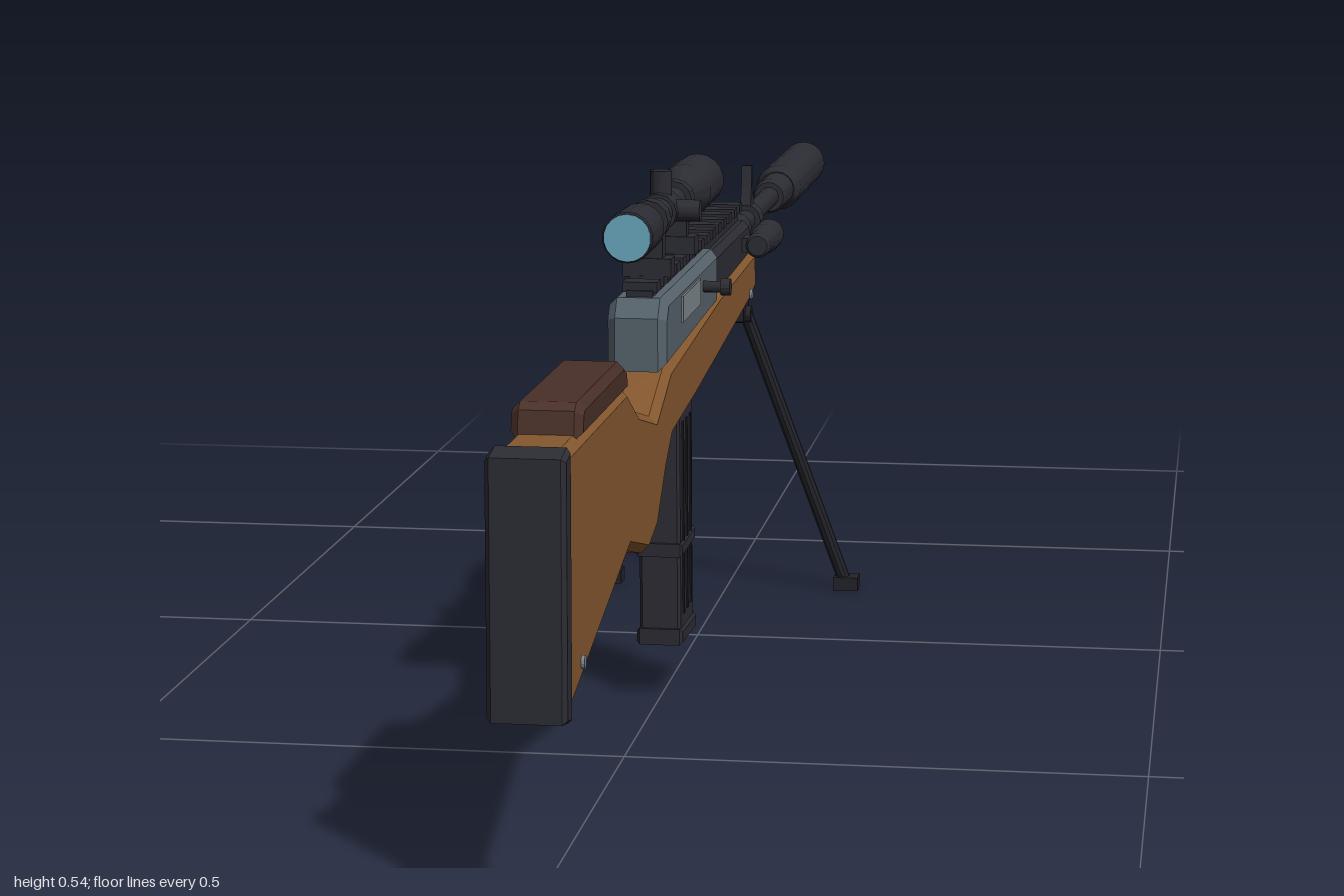
import * as THREE from 'three';
import { toCreasedNormals } from 'three/addons/utils/BufferGeometryUtils.js';

const mat = (name, color, extra = {}) => {
  const m = new THREE.MeshStandardMaterial({ color, ...extra });
  m.name = name;
  return m;
};

export function createModel() {
  const wood = mat('wood', 0x85582f);
  const cheekBrown = mat('dark leather', 0x4a3029);
  const black = mat('black metal', 0x2c2c34);
  const dark = mat('dark metal', 0x222228);
  const steel = mat('steel grey', 0x56626b);
  const bright = mat('bright steel', 0x7c868d);
  const glass = mat('lens glass', 0x68a8be);

  const model = new THREE.Group();
  model.name = 'scopedRifle';

  const add = (name, geo, material, x = 0, y = 0, z = 0) => {
    const m = new THREE.Mesh(geo, material);
    m.name = name;
    m.position.set(x, y, z);
    model.add(m);
    return m;
  };
  const box = (name, material, w, h, d, x, y, z) =>
    add(name, new THREE.BoxGeometry(w, h, d), material, x, y, z);

  // Side outline of [z, y] points, given a width across x and bevelled edges
  const slab = (name, material, pts, width, bevel) => {
    const shape = new THREE.Shape(pts.map(p => new THREE.Vector2(p[0], p[1])));
    const geo = new THREE.ExtrudeGeometry(shape, {
      depth: width - 2 * bevel, bevelEnabled: bevel > 0, bevelThickness: bevel,
      bevelSize: bevel, bevelOffset: -bevel, bevelSegments: 1,
    });
    geo.translate(0, 0, -(width - 2 * bevel) / 2);
    geo.rotateY(-Math.PI / 2);
    return add(name, toCreasedNormals(geo, 0.3), material);
  };

  // Round part along z from [radius, z] points, z increasing
  const turned = (name, material, pts, x, y, sides = 16) => {
    const geo = new THREE.LatheGeometry(pts.map(p => new THREE.Vector2(p[0], p[1])), sides);
    geo.rotateX(Math.PI / 2);
    return add(name, toCreasedNormals(geo, 0.5), material, x, y, 0);
  };
  // Cylinder lying across x
  const pin = (name, material, r, len, x, y, z, sides = 12) => {
    const geo = new THREE.CylinderGeometry(r, r, len, sides).rotateZ(Math.PI / 2);
    return add(name, toCreasedNormals(geo, 0.6), material, x, y, z);
  };
  // Cylinder between two points
  const rod = (name, material, a, b, r) => {
    const p = new THREE.Vector3(...a), q = new THREE.Vector3(...b);
    const m = add(name, toCreasedNormals(new THREE.CylinderGeometry(r, r, p.distanceTo(q), 10), 0.7), material);
    m.position.copy(p).add(q).multiplyScalar(0.5);
    m.quaternion.setFromUnitVectors(new THREE.Vector3(0, 1, 0), q.sub(p).normalize());
  };

  // Wooden stock with grip and forend
  slab('stock', wood, [
    [0.975, 0.165], [0.975, 0.39], [0.665, 0.39], [0.595, 0.356], [0.49, 0.332], [0.40, 0.365],
    [0.05, 0.385], [-0.25, 0.392], [-0.255, 0.345], [-0.20, 0.336], [0.22, 0.303], [0.39, 0.292],
    [0.43, 0.268], [0.485, 0.222], [0.54, 0.21], [0.65, 0.237],
  ], 0.062, 0.008);
  slab('buttPad', black, [[0.972, 0.16], [1, 0.165], [1, 0.388], [0.972, 0.393]], 0.068, 0.004);
  slab('cheekRest', cheekBrown, [
    [0.905, 0.385], [0.90, 0.41], [0.89, 0.416], [0.68, 0.416], [0.662, 0.408], [0.655, 0.385],
  ], 0.062, 0.007);
  pin('rearScrew', bright, 0.006, 0.068, 0, 0.197, 0.91);
  pin('frontScrew', bright, 0.006, 0.068, 0, 0.347, -0.2);

  // Receiver
  slab('receiver', steel, [
    [0.42, 0.362], [0.42, 0.414], [0.405, 0.432], [0.05, 0.432], [0.05, 0.372],
  ], 0.058, 0.008);
  box('ejectionPort', bright, 0.004, 0.026, 0.125, 0.029, 0.408, 0.255);
  pin('boltHandle', black, 0.006, 0.032, 0.04, 0.408, 0.16);
  pin('boltKnob', black, 0.009, 0.01, 0.052, 0.408, 0.16);

  // Upper handguard and toothed rail
  slab('handguard', black, [[0.05, 0.375], [0.05, 0.426], [-0.235, 0.426], [-0.25, 0.415], [-0.25, 0.38]], 0.05, 0.007);
  box('railBase', black, 0.026, 0.012, 0.63, 0, 0.432, 0.085);
  for (let i = 0; i < 15; i++)
    box('railTooth', black, 0.034, 0.01, 0.024, 0, 0.441, 0.385 - i * 0.0435);

  // Barrel, muzzle collar and suppressor
  turned('barrel', black, [
    [0, -0.66], [0.012, -0.66], [0.012, -0.33], [0.016, -0.33], [0.016, -0.24], [0, -0.24],
  ], 0, 0.405);
  turned('muzzleCollar', black, [
    [0, -0.71], [0.021, -0.71], [0.021, -0.63], [0.018, -0.62], [0, -0.62],
  ], 0, 0.405);
  turned('suppressor', black, [
    [0, -0.985], [0.01, -0.985], [0.01, -1], [0.024, -1], [0.028, -0.993], [0.028, -0.72], [0.022, -0.7], [0, -0.7],
  ], 0, 0.405, 20);

  // Front sight
  turned('frontSightBand', black, [[0, -0.426], [0.018, -0.426], [0.018, -0.394], [0, -0.394]], 0, 0.405, 12);
  slab('frontSightPost', black, [
    [-0.394, 0.415], [-0.404, 0.445], [-0.406, 0.468], [-0.414, 0.468], [-0.416, 0.445], [-0.426, 0.415],
  ], 0.012, 0);

  // Side lamp on the forend
  turned('lamp', black, [
    [0, -0.25], [0.017, -0.25], [0.017, -0.205], [0.014, -0.19], [0.014, -0.15], [0.011, -0.145], [0, -0.145],
  ], 0.046, 0.409);
  turned('lampLens', bright, [[0, -0.252], [0.013, -0.252], [0.013, -0.249]], 0.046, 0.409);
  box('lampMount', black, 0.025, 0.016, 0.04, 0.03, 0.405, -0.195);

  // Magazine, leaning slightly forward at the foot
  slab('magazine', black, [[0.28, 0.32], [0.27, 0.06], [0.182, 0.06], [0.19, 0.32]], 0.042, 0.003);
  slab('magazineBand', black, [[0.278, 0.162], [0.277, 0.148], [0.181, 0.148], [0.182, 0.162]], 0.047, 0.002);
  slab('magazineBase', black, [[0.275, 0.073], [0.274, 0.056], [0.176, 0.052], [0.177, 0.069]], 0.047, 0.003);
  for (const z of [0.205, 0.23, 0.255]) {
    const rib = box('magazineRib', dark, 0.045, 0.2, 0.007, 0, 0.185, z);
    rib.rotation.x = 0.036;
  }

  // Trigger and guard
  const guard = new THREE.CatmullRomCurve3([
    [0.395, 0.295], [0.39, 0.255], [0.372, 0.238], [0.325, 0.237], [0.305, 0.25], [0.288, 0.305],
  ].map(([z, y]) => new THREE.Vector3(0, y, z)), false, 'catmullrom', 0.3);
  add('triggerGuard', new THREE.TubeGeometry(guard, 24, 0.005, 6), dark);
  slab('trigger', dark, [[0.347, 0.3], [0.342, 0.275], [0.332, 0.255], [0.338, 0.253], [0.35, 0.272], [0.358, 0.3]], 0.01, 0);

  // Bipod
  box('bipodMount', dark, 0.05, 0.026, 0.045, 0, 0.33, -0.21);
  pin('bipodHinge', dark, 0.01, 0.062, 0, 0.322, -0.212);
  for (const s of [-1, 1]) {
    rod('bipodLeg', dark, [s * 0.024, 0.325, -0.212], [s * 0.134, 0.012, -0.248], 0.0075);
    box('bipodFoot', dark, 0.028, 0.015, 0.026, s * 0.137, 0.0085, -0.248);
  }

  // Scope tube with both lenses
  const sy = 0.499;
  turned('scopeTube', black, [
    [0, 0.004], [0.024, 0.004], [0.024, 0], [0.028, 0], [0.028, 0.10], [0.015, 0.145],
    [0.015, 0.36], [0.024, 0.395], [0.0245, 0.47], [0.023, 0.472], [0, 0.47],
  ], 0, sy, 18);
  turned('frontLens', glass, [[0, 0.001], [0.0245, 0.001], [0.0245, 0.005]], 0, sy, 18);
  turned('eyeLens', glass, [[0.0225, 0.468], [0.0225, 0.473], [0, 0.473]], 0, sy, 18);

  // Scope rings and clamps
  for (const z of [0.34, 0.177]) {
    box('ringFoot', black, 0.048, 0.018, 0.026, 0, 0.454, z);
    box('ringPost', black, 0.03, 0.03, 0.02, 0, 0.471, z);
    turned('scopeRing', black, [
      [0, z - 0.011], [0.021, z - 0.011], [0.021, z + 0.011], [0, z + 0.011],
    ], 0, sy, 12);
  }

  // Adjustment turrets
  turned('turretCollar', black, [[0, 0.24], [0.019, 0.24], [0.019, 0.282], [0, 0.282]], 0, sy, 12);
  add('topTurret', toCreasedNormals(new THREE.CylinderGeometry(0.011, 0.011, 0.03, 12), 0.6), black, 0, 0.524, 0.26);
  pin('sideTurret', black, 0.011, 0.03, 0.025, sy, 0.26);

  return model;
}
